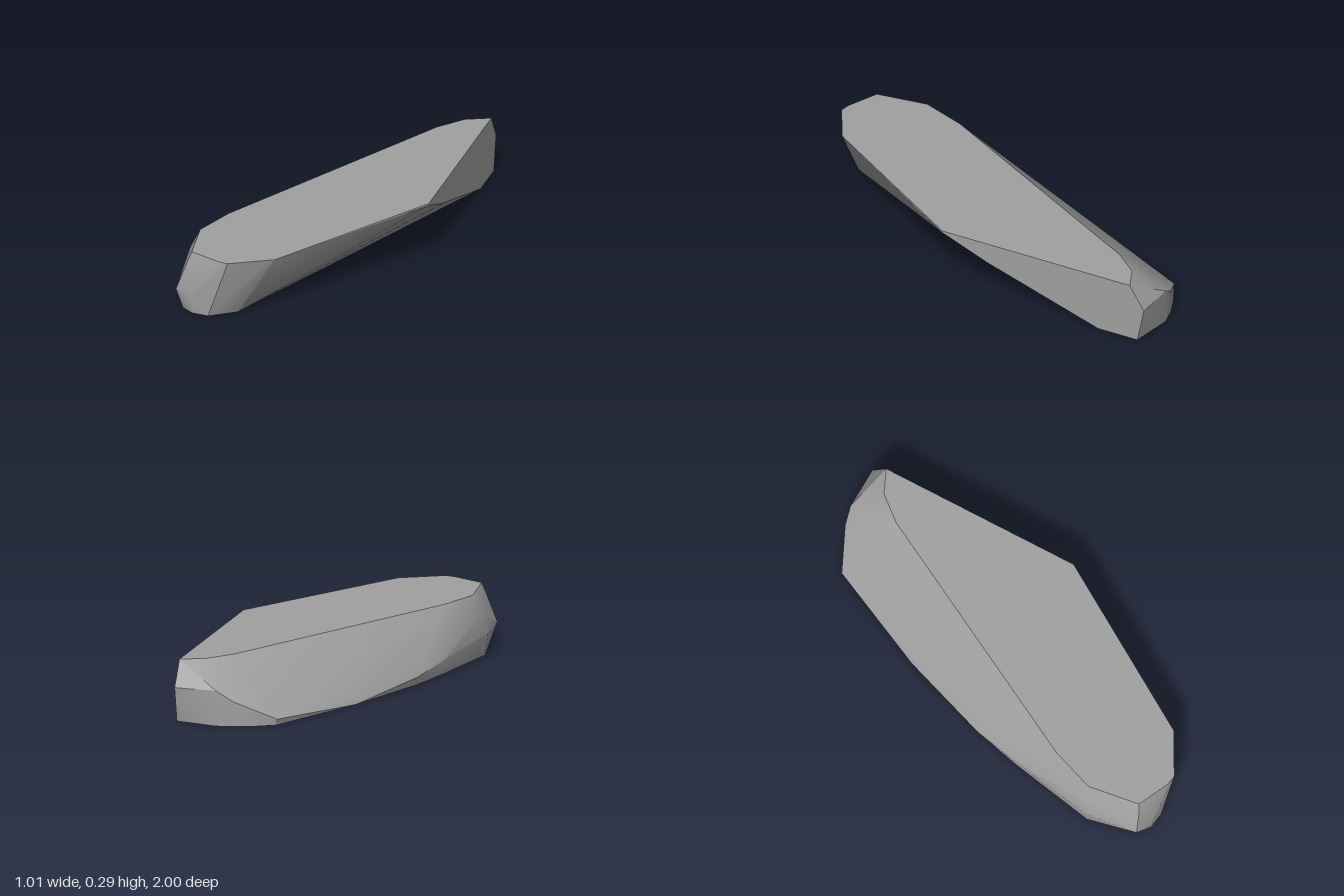
import * as THREE from 'three';
import { ConvexGeometry } from 'three/addons/geometries/ConvexGeometry.js';
import { toCreasedNormals } from 'three/addons/utils/BufferGeometryUtils.js';

const TOP = 0.29;

// Outlines of the chipped slab as [x, z], all at one height
const topOutline = [
  [0.505, 0.08], [0.505, -0.92], [0.39, -0.87], [0.29, -0.75], [-0.36, 0.46],
  [-0.435, 0.67], [-0.4, 0.92], [-0.25, 0.99], [-0.2, 1], [0, 0.89],
];
const bottomOutline = [
  [-0.18, 0.9], [0.505, -0.75], [0.505, -0.96], [0.3, -1], [0.21, -0.98],
  [0.12, -0.945], [0.035, -0.895], [-0.2, -0.4], [-0.355, 0.04],
  [-0.41, 0.27], [-0.49, 0.69], [-0.44, 0.93], [-0.38, 0.975], [-0.3, 0.985],
];

// Chipped corners between the two faces as [x, y, z]
const chips = [
  [0.505, 0.19, -0.15], [0.505, 0.28, 0.08],
  [0.505, 0.17, -0.995], [0.3, 0.17, -1], [0.22, 0.12, -0.985], [0.03, 0.03, -0.9],
  [-0.365, 0.04, 0.04], [-0.42, 0.07, 0.27],
  [-0.505, 0.11, 0.69], [-0.48, 0.2, 0.685],
  [-0.47, 0.1, 0.945], [-0.415, 0.25, 0.93], [-0.38, 0.1, 0.985],
];

export function createModel() {
  const group = new THREE.Group();
  group.name = 'stoneSlab';
  const stone = new THREE.MeshStandardMaterial({ color: 0xa0a0a0 });
  stone.name = 'grey stone';

  const points = [
    ...topOutline.map(([x, z]) => new THREE.Vector3(x, TOP, z)),
    ...bottomOutline.map(([x, z]) => new THREE.Vector3(x, 0, z)),
    ...chips.map((p) => new THREE.Vector3(...p)),
  ];

  // Worn facets blend softly, main edges stay sharp
  const rock = new THREE.Mesh(toCreasedNormals(new ConvexGeometry(points), 0.45), stone);
  rock.name = 'rock';
  group.add(rock);
  return group;
}
